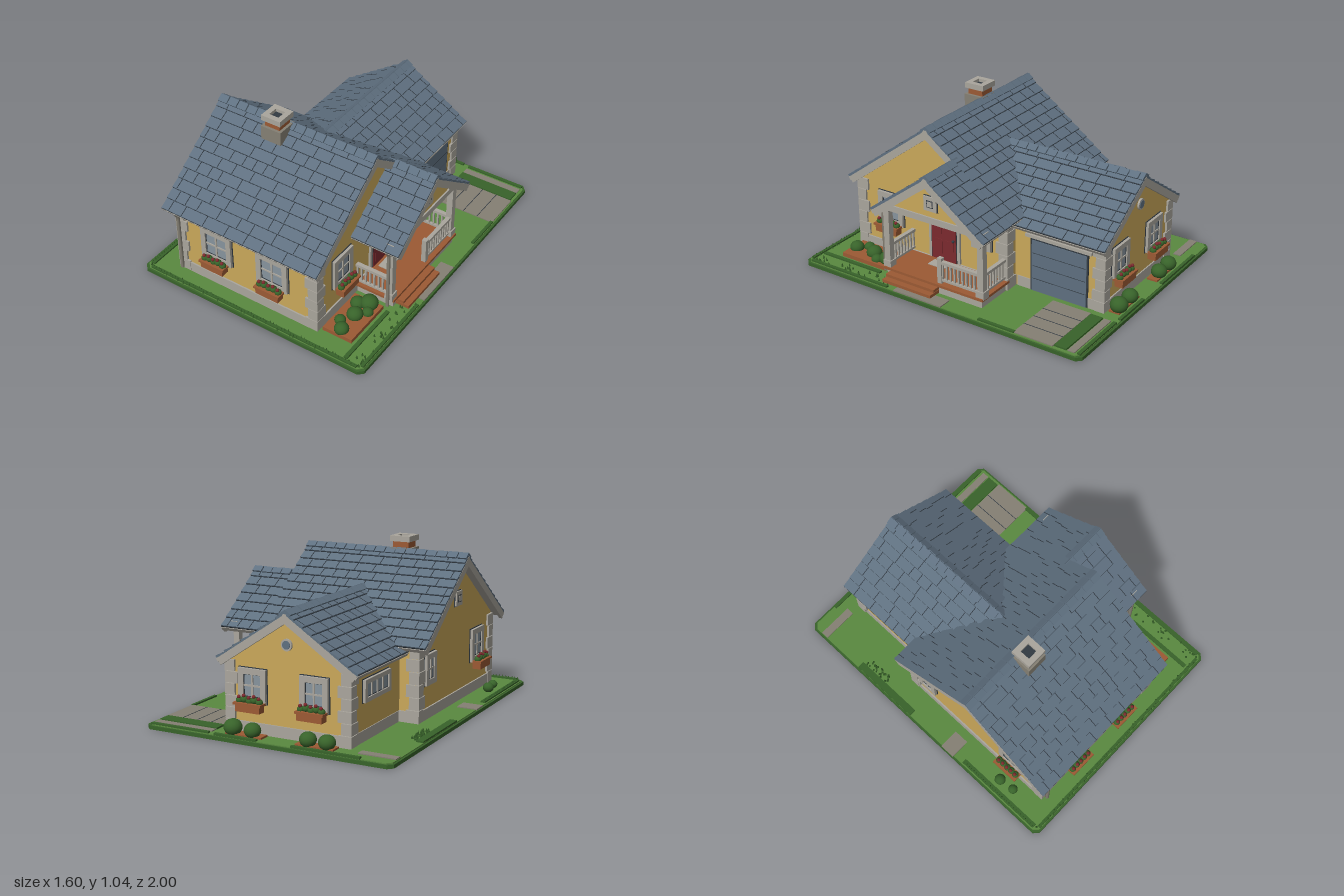
import * as THREE from 'three';
import { mergeGeometries } from 'three/addons/utils/BufferGeometryUtils.js';

const mat = (name, color) => new THREE.MeshStandardMaterial({ name, color });
const M = {
  wall: mat('yellow plaster', 0xcaa85a), trim: mat('pale stone', 0xaaa69d), roof: mat('slate blue', 0x5f7080),
  grass: mat('grass green', 0x5a8a40), leaf: mat('dark leaf green', 0x38632a), brown: mat('terracotta brown', 0x9c5a34),
  red: mat('deep red', 0x7c2a2e), glass: mat('window grey', 0x87949e), stone: mat('paving grey', 0x858074),
  dark: mat('ink dark', 0x323a42),
};
const H = Math.PI / 2;
let seed = 7;
const rnd = () => (seed = (seed * 16807) % 2147483647) / 2147483647;

function add(parent, name, geo, m, x = 0, y = 0, z = 0) {
  const o = new THREE.Mesh(geo, m);
  o.name = name;
  o.position.set(x, y, z);
  parent.add(o);
  return o;
}
const box = (p, name, m, w, h, d, x, y, z) => add(p, name, new THREE.BoxGeometry(w, h, d), m, x, y, z);
const placedBox = (w, h, d, x, y, z, rx = 0) => new THREE.BoxGeometry(w, h, d).rotateX(rx).translate(x, y, z);
function frameAt(parent, name, x, y, z, ry = 0) {
  const g = new THREE.Group();
  g.name = name;
  g.position.set(x, y, z);
  g.rotation.y = ry;
  parent.add(g);
  return g;
}

// Pentagonal gabled block, extruded along its ridge
function gable(parent, name, half, y0, yEave, yApex, len, x, z, ry) {
  const s = new THREE.Shape([[-half, y0], [half, y0], [half, yEave], [0, yApex], [-half, yEave]].map(p => new THREE.Vector2(...p)));
  const geo = new THREE.ExtrudeGeometry(s, { depth: len, bevelEnabled: false });
  add(parent, name, geo, M.wall, x, 0, z).rotation.y = ry;
}

// One roof slope: ridge along local x at the origin, falling toward local +z
function slope(parent, name, run, drop, L, rows, x, y, z, ry) {
  const g = frameAt(frameAt(parent, name, x, y, z, ry), 'pitch', 0, 0, 0);
  g.rotation.x = Math.atan2(drop, run);
  const S = Math.hypot(run, drop), step = S / rows;
  const courses = [], lines = [], caps = [];
  for (let i = 0; i < rows; i++) {
    const zc = (i + 0.5) * step, tilt = -0.009 / step;
    courses.push(placedBox(L, 0.014, step * 1.05, 0, -0.007, zc, tilt));
    lines.push(placedBox(L - 0.004, 0.008, 0.004, 0, -0.004, zc + step * 0.53));
    for (let px = -L / 2 + 0.03 + rnd() * 0.08; px < L / 2 - 0.03; px += 0.07 + rnd() * 0.1)
      lines.push(placedBox(0.004, 0.003, step * 0.95, px, 0.0005, zc, tilt));
  }
  for (let px = -L / 2; px < L / 2 - 0.01; px += 0.07) {
    const w = Math.min(0.064, L / 2 - px);
    caps.push(placedBox(w, 0.012, 0.045, px + w / 2, 0.003 + rnd() * 0.004, 0.018));
  }
  add(g, 'shingleCourses', mergeGeometries(courses), M.roof);
  add(g, 'shingleJoints', mergeGeometries(lines), M.dark);
  add(g, 'ridgeCaps', mergeGeometries(caps), M.roof);
  box(g, 'roofDeck', M.trim, L - 0.01, 0.02, S - 0.005, 0, -0.024, S / 2);
  for (const s of [-1, 1]) box(g, 'rakeBoard', M.trim, 0.02, 0.045, S, s * (L / 2 - 0.009), -0.034, S / 2);
  box(g, 'gutter', M.trim, L, 0.024, 0.022, 0, -0.022, S - 0.004);
}

// Alternating corner stones; sx and sz point outward from the corner
function quoins(parent, x, z, sx, sz, top) {
  const g = frameAt(parent, 'cornerStones', x, 0, z), n = 6, h = (top - 0.03) / n;
  for (let i = 0; i < n; i++) {
    const a = i % 2 ? 0.065 : 0.085, b = i % 2 ? 0.085 : 0.065;
    box(g, 'cornerStone', M.trim, a, h - 0.004, b, sx * (0.013 - a / 2), 0.03 + h * (i + 0.5), sz * (0.013 - b / 2));
  }
}

function blob(parent, name, m, r, x, y, z, sy = 1) {
  add(parent, name, new THREE.IcosahedronGeometry(r, 2), m, x, y, z).scale.y = sy;
}

// Window facing local +z, with optional flower box
function windowUnit(parent, x, y, z, ry, w, h, cols = 2, rows = 2, flowers = false) {
  const g = frameAt(parent, 'window', x, y, z, ry), f = Math.min(0.034, h * 0.2);
  box(g, 'windowOutline', M.dark, w + 0.01, h + 0.01, 0.008, 0, 0, 0);
  box(g, 'glass', M.glass, w - f, h - f, 0.008, 0, 0, 0.006);
  for (const s of [-1, 1]) {
    box(g, 'sideFrame', M.trim, f, h, 0.026, s * (w - f) / 2, 0, 0.008);
    box(g, 'crossFrame', M.trim, w, f, 0.026, 0, s * (h - f) / 2, 0.008);
    box(g, 'innerEdge', M.dark, 0.004, h - 2 * f, 0.014, s * (w / 2 - f - 0.002), 0, 0.006);
    box(g, 'innerEdge', M.dark, w - 2 * f, 0.004, 0.014, 0, s * (h / 2 - f - 0.002), 0.006);
  }
  for (let i = 1; i < cols; i++) box(g, 'mullion', M.trim, 0.012, h - f, 0.018, -w / 2 + f + (w - 2 * f) * i / cols, 0, 0.007);
  for (let i = 1; i < rows; i++) box(g, 'transom', M.trim, w - f, 0.01, 0.018, 0, -h / 2 + f + (h - 2 * f) * i / rows, 0.007);
  if (!flowers) return;
  const fy = -h / 2 - 0.008;
  box(g, 'flowerBox', M.brown, 0.16, 0.045, 0.055, 0, fy - 0.012, 0.045);
  box(g, 'flowerBoxRim', M.brown, 0.18, 0.014, 0.068, 0, fy + 0.012, 0.045);
  for (let i = 0; i < 5; i++) {
    const px = -0.066 + i * 0.033;
    blob(g, 'foliage', M.leaf, 0.021, px, fy + 0.026 + (i % 2) * 0.008, 0.045);
    blob(g, 'flower', M.red, 0.011, px, fy + 0.047 + (i % 2) * 0.01, 0.052);
  }
}

function gableVent(parent, x, y, z, ry, s) {
  const g = frameAt(parent, 'gableVent', x, y, z, ry);
  box(g, 'ventOutline', M.dark, s + 0.008, s + 0.008, 0.008, 0, 0, 0.002);
  box(g, 'ventFrame', M.trim, s, s, 0.02, 0, 0, 0.006);
  box(g, 'ventInset', M.dark, s * 0.5, s * 0.5, 0.006, 0, 0, 0.015);
  box(g, 'ventCore', M.trim, s * 0.38, s * 0.38, 0.008, 0, 0, 0.016);
}

function railing(parent, x, z, ry, len) {
  const g = frameAt(parent, 'porchRailing', x, 0, z, ry);
  box(g, 'topRail', M.trim, len, 0.018, 0.026, 0, 0.232, 0);
  box(g, 'bottomRail', M.trim, len, 0.014, 0.018, 0, 0.115, 0);
  const n = Math.round(len / 0.03);
  for (let i = 0; i <= n; i++) box(g, 'baluster', M.trim, 0.011, 0.12, 0.011, -len / 2 + 0.006 + (len - 0.012) * i / n, 0.17, 0);
}

function pipe(parent, pts) {
  const curve = new THREE.CatmullRomCurve3(pts.map(p => new THREE.Vector3(...p)), false, 'catmullrom', 0.1);
  add(parent, 'downpipe', new THREE.TubeGeometry(curve, 20, 0.012, 6), M.stone);
}

function garden(g) {
  // Lot with cut corners
  const c = 0.03, pts = [[-0.8 + c, -1], [0.8 - c, -1], [0.8, -1 + c], [0.8, 1 - c], [0.8 - c, 1], [-0.8 + c, 1], [-0.8, 1 - c], [-0.8, -1 + c]];
  const lot = new THREE.Shape(pts.map(p => new THREE.Vector2(...p)));
  add(g, 'lotBase', new THREE.ExtrudeGeometry(lot, { depth: 0.022, bevelEnabled: false }).rotateX(-H), M.leaf);
  add(g, 'lawn', new THREE.ExtrudeGeometry(lot, { depth: 0.006, bevelEnabled: false }).rotateX(-H), M.grass, 0, 0.022, 0).scale.set(0.985, 1, 0.988);
  // Paving: [width, depth, x, z]
  for (const [w, d, x, z] of [[0.42, 0.26, 0.57, -0.68], [0.4, 0.045, 0.57, -0.925], [0.13, 0.1, -0.73, 0.23], [0.23, 0.05, -0.67, -0.89], [0.09, 0.35, 0.745, 0.13]])
    box(g, 'paving', M.stone, w, 0.008, d, x, 0.03, z);
  for (let i = 0; i < 3; i++) box(g, 'drivewayJoint', M.dark, 0.004, 0.002, 0.26, 0.47 + i * 0.1, 0.0345, -0.68);
  // Low clipped borders
  for (const [w, d, x, z] of [[0.045, 0.47, -0.765, -0.34], [0.03, 0.6, -0.765, 0.65], [0.43, 0.02, -0.39, -0.98], [0.28, 0.02, 0.19, -0.98],
    [0.4, 0.022, 0.57, -0.975], [0.4, 0.08, 0.57, -0.855], [1.5, 0.02, 0, 0.975], [0.025, 0.45, 0.66, 0.73], [0.02, 0.6, 0.775, 0.66], [0.02, 0.25, 0.775, -0.43]])
    box(g, 'grassBorder', M.leaf, w, 0.014, d, x, 0.031, z);
  const tufts = [];
  const tuft = (x, z) => tufts.push(new THREE.ConeGeometry(0.009, 0.026, 4).translate(x, 0.036 + rnd() * 0.006, z));
  for (let i = 0; i < 70; i++) tuft(-0.76 + i * 0.022, 0.965 + rnd() * 0.02);
  for (let i = 0; i < 30; i++) { tuft(-0.77, 0.36 + i * 0.02); tuft(0.7 + rnd() * 0.07, 0.35 + rnd() * 0.6); tuft(-0.74 + rnd() * 0.05, -0.55 + rnd() * 0.18); }
  add(g, 'grassTufts', mergeGeometries(tufts), M.leaf);
  // Planting beds and shrubs
  box(g, 'plantingBed', M.brown, 0.2, 0.032, 0.34, 0.525, 0.038, 0.67);
  for (const x of [-0.3, 0.16]) box(g, 'plantingBed', M.brown, 0.24, 0.014, 0.07, x, 0.032, -0.915);
  for (const [x, z, r] of [[0.53, 0.8, 0.045], [0.48, 0.74, 0.035], [0.53, 0.66, 0.05], [0.49, 0.57, 0.045], [0.55, 0.535, 0.055], [0.58, 0.6, 0.035],
    [-0.37, -0.925, 0.05], [-0.25, -0.925, 0.05], [0.11, -0.925, 0.05], [0.24, -0.925, 0.055], [-0.7, 0.6, 0.035], [-0.69, 0.7, 0.03]])
    blob(g, 'shrub', M.leaf, r, x, 0.04 + r * 0.55, z, 0.9);
}

function porch(g) {
  box(g, 'porchBase', M.trim, 0.26, 0.055, 0.7, 0.53, 0.052, 0.1);
  box(g, 'porchFloor', M.brown, 0.28, 0.016, 0.73, 0.535, 0.086, 0.1);
  box(g, 'upperStep', M.brown, 0.06, 0.018, 0.36, 0.685, 0.065, 0.24);
  box(g, 'lowerStep', M.brown, 0.1, 0.02, 0.36, 0.7, 0.043, 0.24);
  box(g, 'doormat', M.trim, 0.07, 0.006, 0.12, 0.47, 0.095, 0.2);
  for (const z of [-0.24, 0.445]) {
    box(g, 'porchPost', M.trim, 0.04, 0.42, 0.04, 0.64, 0.29, z);
    box(g, 'postFoot', M.trim, 0.055, 0.05, 0.055, 0.64, 0.11, z);
    box(g, 'sideBeam', M.trim, 0.26, 0.04, 0.045, 0.53, 0.495, z);
  }
  box(g, 'frontBeam', M.trim, 0.05, 0.04, 0.75, 0.645, 0.5, 0.1);
  box(g, 'railPost', M.trim, 0.03, 0.17, 0.03, 0.64, 0.175, 0.06);
  railing(g, 0.64, -0.085, H, 0.27);
  railing(g, 0.51, 0.445, 0, 0.22);
  railing(g, 0.51, -0.24, 0, 0.22);
  gable(g, 'porchGable', 0.37, 0.5, 0.502, 0.76, 0.26, 0.4, 0.1, H);
  gableVent(g, 0.66, 0.61, 0.1, H, 0.09);
  slope(g, 'porchRoofFront', 0.41, 0.305, 0.32, 7, 0.56, 0.797, 0.1, 0);
  slope(g, 'porchRoofBack', 0.41, 0.305, 0.28, 7, 0.58, 0.797, 0.1, Math.PI);
  pipe(g, [[0.64, 0.48, 0.5], [0.64, 0.44, 0.48], [0.64, 0.05, 0.48]]);
}

function entrance(g) {
  const d = frameAt(g, 'frontDoor', 0.4, 0.1, 0.2, H);
  box(d, 'doorFrame', M.trim, 0.23, 0.35, 0.018, 0, 0.175, 0.005);
  box(d, 'doorOutline', M.dark, 0.19, 0.325, 0.008, 0, 0.163, 0.012);
  box(d, 'doorLeaf', M.red, 0.18, 0.318, 0.014, 0, 0.159, 0.012);
  for (const s of [-1, 1]) for (const y of [0.085, 0.225]) box(d, 'doorPanel', M.red, 0.06, 0.11, 0.008, s * 0.042, y, 0.018);
  blob(d, 'doorKnob', M.dark, 0.009, 0.073, 0.15, 0.024);
  const l = frameAt(g, 'wallLantern', 0.4, 0.4, 0.033, H);
  box(l, 'lanternArm', M.dark, 0.01, 0.01, 0.05, 0, 0.035, 0.025);
  add(l, 'lanternCap', new THREE.ConeGeometry(0.028, 0.028, 6), M.dark, 0, 0.018, 0.042);
  add(l, 'lanternGlass', new THREE.CylinderGeometry(0.02, 0.013, 0.045, 6), M.glass, 0, -0.018, 0.042);
  add(l, 'lanternBase', new THREE.CylinderGeometry(0.014, 0.008, 0.012, 6), M.dark, 0, -0.045, 0.042);
}

function garageDoor(g) {
  const d = frameAt(g, 'garageDoor', 0.31, 0.03, -0.56, H);
  box(d, 'garageOutline', M.dark, 0.395, 0.35, 0.008, 0, 0.175, 0.003);
  box(d, 'garagePanel', M.roof, 0.375, 0.335, 0.014, 0, 0.168, 0.004);
  for (let i = 1; i < 4; i++) box(d, 'panelGroove', M.dark, 0.36, 0.003, 0.002, 0, i * 0.084, 0.0115);
  box(d, 'garageLintel', M.trim, 0.45, 0.02, 0.03, 0, 0.365, 0.01);
}

function chimney(g) {
  const c = frameAt(g, 'chimney', -0.21, 0, 0.365);
  box(c, 'chimneySkirt', M.stone, 0.14, 0.09, 0.14, 0, 0.915, 0);
  box(c, 'chimneyStack', M.brown, 0.105, 0.2, 0.105, 0, 0.91, 0);
  for (const s of [-1, 1]) {
    box(c, 'chimneyCap', M.trim, 0.135, 0.035, 0.035, 0, 1.018, s * 0.05);
    box(c, 'chimneyCap', M.trim, 0.035, 0.035, 0.135, s * 0.05, 1.018, 0);
  }
  box(c, 'flue', M.dark, 0.07, 0.006, 0.07, 0, 1.012, 0);
}

export function createModel() {
  const g = new THREE.Group();
  g.name = 'cottage';
  garden(g);
  // Walls and plinths
  gable(g, 'mainWalls', 0.555, 0.025, 0.5, 0.91, 1.0, -0.6, 0.305, H);
  gable(g, 'garageWalls', 0.395, 0.025, 0.46, 0.72, 0.66, -0.085, -0.86, 0);
  box(g, 'mainPlinth', M.trim, 1.02, 0.07, 1.13, -0.1, 0.06, 0.305);
  box(g, 'garagePlinth', M.trim, 0.8, 0.07, 0.6, -0.085, 0.06, -0.568);
  for (const [x, z, sx, sz] of [[0.4, 0.86, 1, 1], [-0.6, 0.86, -1, 1], [0.4, -0.25, 1, -1], [-0.6, -0.25, -1, -1]]) quoins(g, x, z, sx, sz, 0.49);
  for (const [x, s] of [[0.31, 1], [-0.48, -1]]) quoins(g, x, -0.86, s, -1, 0.45);
  // Roofs
  slope(g, 'mainRoofFront', 0.615, 0.455, 1.11, 11, -0.115, 0.952, 0.305, 0);
  slope(g, 'mainRoofBack', 0.615, 0.455, 1.11, 11, -0.115, 0.952, 0.305, Math.PI);
  for (const s of [1, -1]) slope(g, 'garageRoof', 0.455, 0.3, 0.94, 8, -0.085, 0.76, -0.42, s * H);
  // Openings
  for (const x of [-0.31, 0.095]) windowUnit(g, x, 0.33, 0.86, 0, 0.22, 0.22, 2, 2, true);
  for (const x of [-0.26, 0.14]) windowUnit(g, x, 0.31, -0.86, Math.PI, 0.18, 0.2, 2, 2, true);
  windowUnit(g, 0.4, 0.335, 0.61, H, 0.19, 0.21, 2, 2, true);
  windowUnit(g, 0.4, 0.35, -0.075, H, 0.14, 0.19);
  windowUnit(g, -0.6, 0.335, 0.61, -H, 0.19, 0.21, 2, 2, true);
  windowUnit(g, -0.6, 0.33, -0.1, -H, 0.14, 0.19);
  windowUnit(g, -0.48, 0.32, -0.56, -H, 0.32, 0.13, 4, 1);
  gableVent(g, -0.6, 0.68, 0.305, -H, 0.09);
  add(g, 'roundVentFrame', new THREE.CylinderGeometry(0.035, 0.035, 0.02, 16).rotateX(H), M.trim, -0.085, 0.57, -0.862);
  add(g, 'roundVent', new THREE.CylinderGeometry(0.025, 0.025, 0.026, 16).rotateX(H), M.roof, -0.085, 0.57, -0.862);
  entrance(g);
  garageDoor(g);
  porch(g);
  chimney(g);
  pipe(g, [[-0.58, 0.485, 0.91], [-0.58, 0.44, 0.887], [-0.58, 0.05, 0.887]]);
  return g;
}
